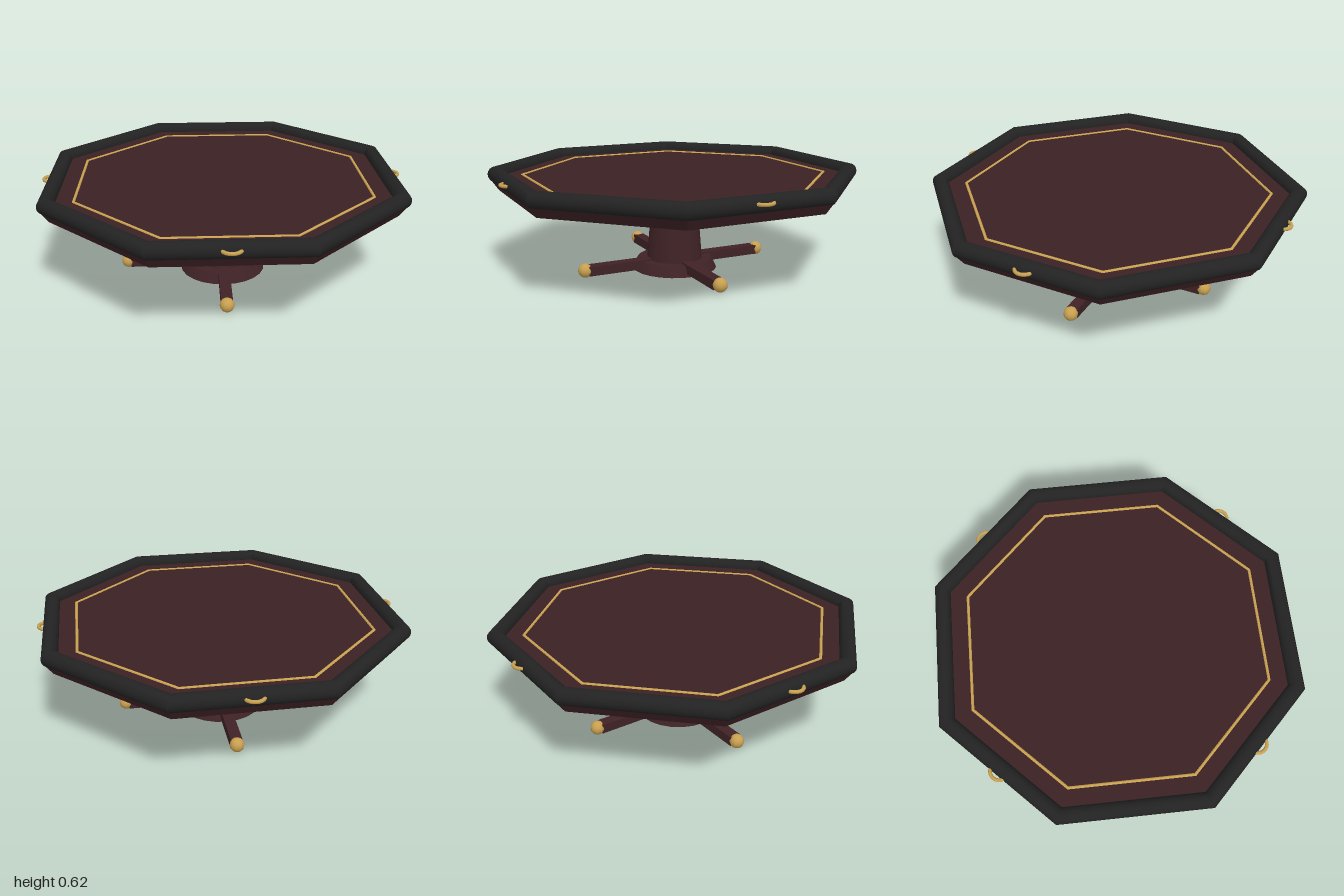
import * as THREE from 'three';
import { toCreasedNormals } from 'three/addons/utils/BufferGeometryUtils.js';

const material = (name, color) => {
  const m = new THREE.MeshStandardMaterial({ color });
  m.name = name;
  return m;
};

export function createModel() {
  const wood = material('dark wood', 0x3f2225);
  const felt = material('table surface', 0x3b2123);
  const leather = material('black rail', 0x222222);
  const gold = material('gold', 0xc8a050);

  const group = new THREE.Group();
  const add = (name, geometry, mat, parent = group) => {
    const mesh = new THREE.Mesh(geometry, mat);
    mesh.name = name;
    parent.add(mesh);
    return mesh;
  };

  // Octagons are sized by the distance from centre to flat side
  const corner = 1 / Math.cos(Math.PI / 8);
  const octagon = (profile) => {
    const points = profile.map(([r, y]) => new THREE.Vector2(r * corner, y));
    return toCreasedNormals(new THREE.LatheGeometry(points, 8, Math.PI / 8), 0.6);
  };
  const ring = (r, y, halfWidth, halfHeight, sides) => {
    const profile = [];
    for (let i = 0; i <= sides; i++) {
      const a = (i / sides) * Math.PI * 2;
      profile.push([r + halfWidth * Math.cos(a), y + halfHeight * Math.sin(a)]);
    }
    return octagon(profile);
  };

  // Table top
  add('apron', octagon([[0, 0.475], [0.943, 0.475], [0.98, 0.53], [0.955, 0.56]]), wood);
  add('playingSurface', octagon([[0.955, 0.55], [0.955, 0.565], [0, 0.565]]), felt);
  add('paddedRail', ring(0.956, 0.568, 0.044, 0.047, 16), leather);
  add('inlayLine', ring(0.815, 0.565, 0.008, 0.007, 8), gold);

  // Pedestal
  const column = add('column', new THREE.CylinderGeometry(0.13, 0.166, 0.43, 16), wood);
  column.position.y = 0.265;
  column.rotation.y = Math.PI / 16;
  add('base', new THREE.CylinderGeometry(0.22, 0.25, 0.06, 24), wood).position.y = 0.03;

  // Feet and cup rings on the four diagonals
  for (let i = 0; i < 4; i++) {
    const arm = new THREE.Group();
    arm.name = 'diagonal' + (i + 1);
    arm.rotation.y = Math.PI / 4 + (i * Math.PI) / 2;
    group.add(arm);
    add('foot', new THREE.BoxGeometry(0.065, 0.055, 0.45), wood, arm).position.set(0, 0.043, 0.325);
    add('footBall', new THREE.SphereGeometry(0.041, 10, 8), gold, arm).position.set(0, 0.045, 0.565);
    const cup = add('cupRing', new THREE.TorusGeometry(0.05, 0.01, 8, 20), gold, arm);
    cup.rotation.x = Math.PI / 2;
    cup.position.set(0, 0.576, 0.974);
  }
  return group;
}
